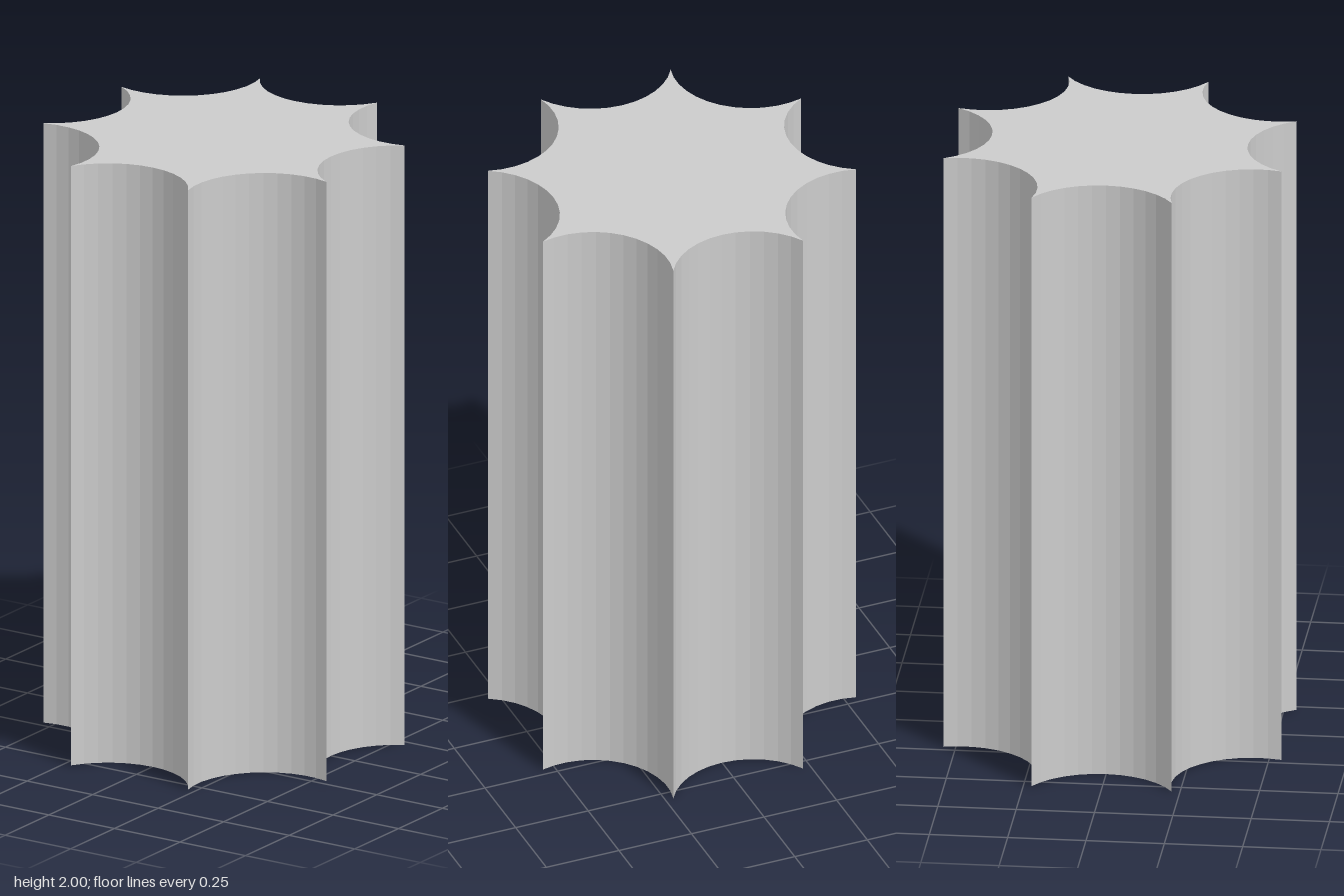
import * as THREE from 'three';

const FLUTES = 8;
const HEIGHT = 2;
const TIP_RADIUS = 0.584;   // centre to sharp ridge
const FLUTE_DEPTH = 0.408;  // centre to bottom of each flute

// Star-like outline made of eight concave arcs meeting at sharp ridges
function flutedOutline() {
  const half = Math.PI / FLUTES;
  const halfChord = TIP_RADIUS * Math.sin(half);
  const sag = TIP_RADIUS * Math.cos(half) - FLUTE_DEPTH;
  const radius = (halfChord ** 2 + sag ** 2) / (2 * sag);
  const centre = FLUTE_DEPTH + radius;
  const sweep = Math.asin(halfChord / radius);

  const shape = new THREE.Shape();
  for (let i = 0; i < FLUTES; i++) {
    const a = i * 2 * half;
    shape.absarc(centre * Math.cos(a), centre * Math.sin(a), radius,
      a + Math.PI + sweep, a + Math.PI - sweep, true);
  }
  return shape;
}

export function createModel() {
  const group = new THREE.Group();
  group.name = 'flutedColumn';

  // Column shaft, extruded upright with flat facets in the flutes
  const geometry = new THREE.ExtrudeGeometry(flutedOutline(), {
    depth: HEIGHT, bevelEnabled: false, curveSegments: 6,
  });
  geometry.rotateX(-Math.PI / 2);

  const shaft = new THREE.Mesh(geometry,
    new THREE.MeshStandardMaterial({ color: 0xcccccc, flatShading: true }));
  shaft.name = 'shaft';
  group.add(shaft);
  return group;
}
